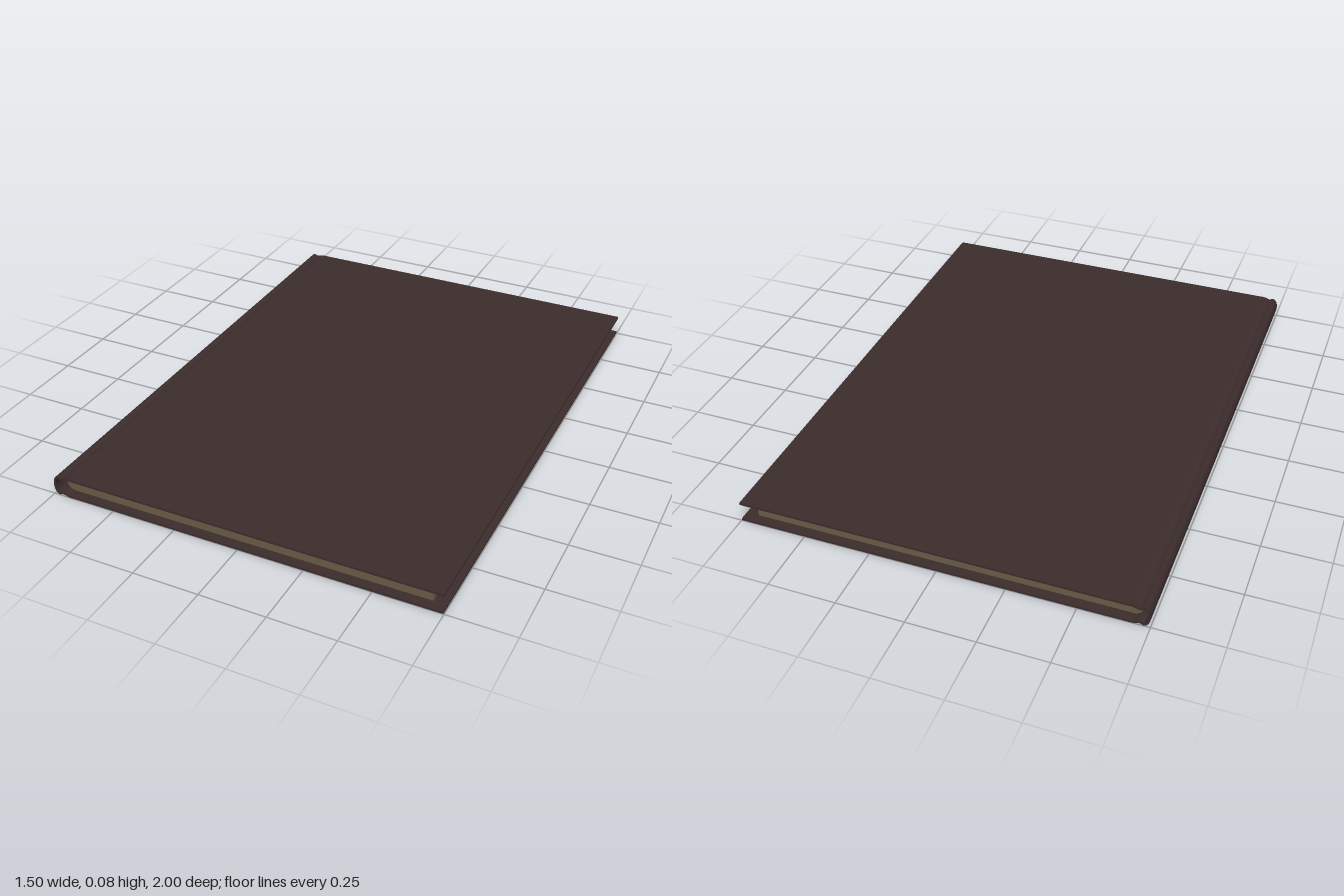
import * as THREE from 'three';
import { toCreasedNormals } from 'three/addons/utils/BufferGeometryUtils.js';

const MID = 0.04; // mid height of the closed book

// Extrude an x/y outline along z, centred on z = 0
function extrudeBook(shape, length) {
  const geometry = new THREE.ExtrudeGeometry(shape, { depth: length, bevelEnabled: false, curveSegments: 10 });
  geometry.translate(0, 0, -length / 2);
  return toCreasedNormals(geometry, 0.6);
}

// Case binding: one thin strip running over the top board, spine and bottom board
function coverShape() {
  const half = 0.0045;
  const upper = [[-0.66, 0.0355], [-0.688, 0.0355], [-0.712, 0.029], [-0.73, 0.034], [-0.741, 0.02]];
  const lower = upper.map(([x, y]) => [x, -y]).reverse();
  const points = [...upper, [-0.744, 0], ...lower].map(([x, y]) => new THREE.Vector2(x, MID + y));
  const line = [
    new THREE.Vector2(0.748, MID + 0.0355),
    ...new THREE.SplineCurve(points).getPoints(50),
    new THREE.Vector2(0.748, MID - 0.0355),
  ];
  const offset = (side) => line.map((p, i) => {
    const a = line[Math.max(i - 1, 0)];
    const b = line[Math.min(i + 1, line.length - 1)];
    const t = b.clone().sub(a).normalize();
    return new THREE.Vector2(p.x - t.y * side * half, p.y + t.x * side * half);
  });
  return new THREE.Shape([...offset(1), ...offset(-1).reverse()]);
}

// Page block with a rounded back that follows the spine
function pagesShape() {
  const h = 0.0312;
  const shape = new THREE.Shape();
  shape.moveTo(0.7, MID - h);
  shape.lineTo(0.7, MID + h);
  shape.lineTo(-0.69, MID + h);
  shape.bezierCurveTo(-0.725, MID + h * 0.6, -0.725, MID - h * 0.6, -0.69, MID - h);
  shape.closePath();
  return shape;
}

export function createModel() {
  const leather = new THREE.MeshStandardMaterial({ color: 0x3d2d2d });
  leather.name = 'dark brown leather';
  const paper = new THREE.MeshStandardMaterial({ color: 0x695a45 });
  paper.name = 'aged paper';

  const book = new THREE.Group();
  book.name = 'book';

  const cover = new THREE.Mesh(extrudeBook(coverShape(), 2), leather);
  cover.name = 'cover';
  const pages = new THREE.Mesh(extrudeBook(pagesShape(), 1.93), paper);
  pages.name = 'pages';

  book.add(cover, pages);
  return book;
}
